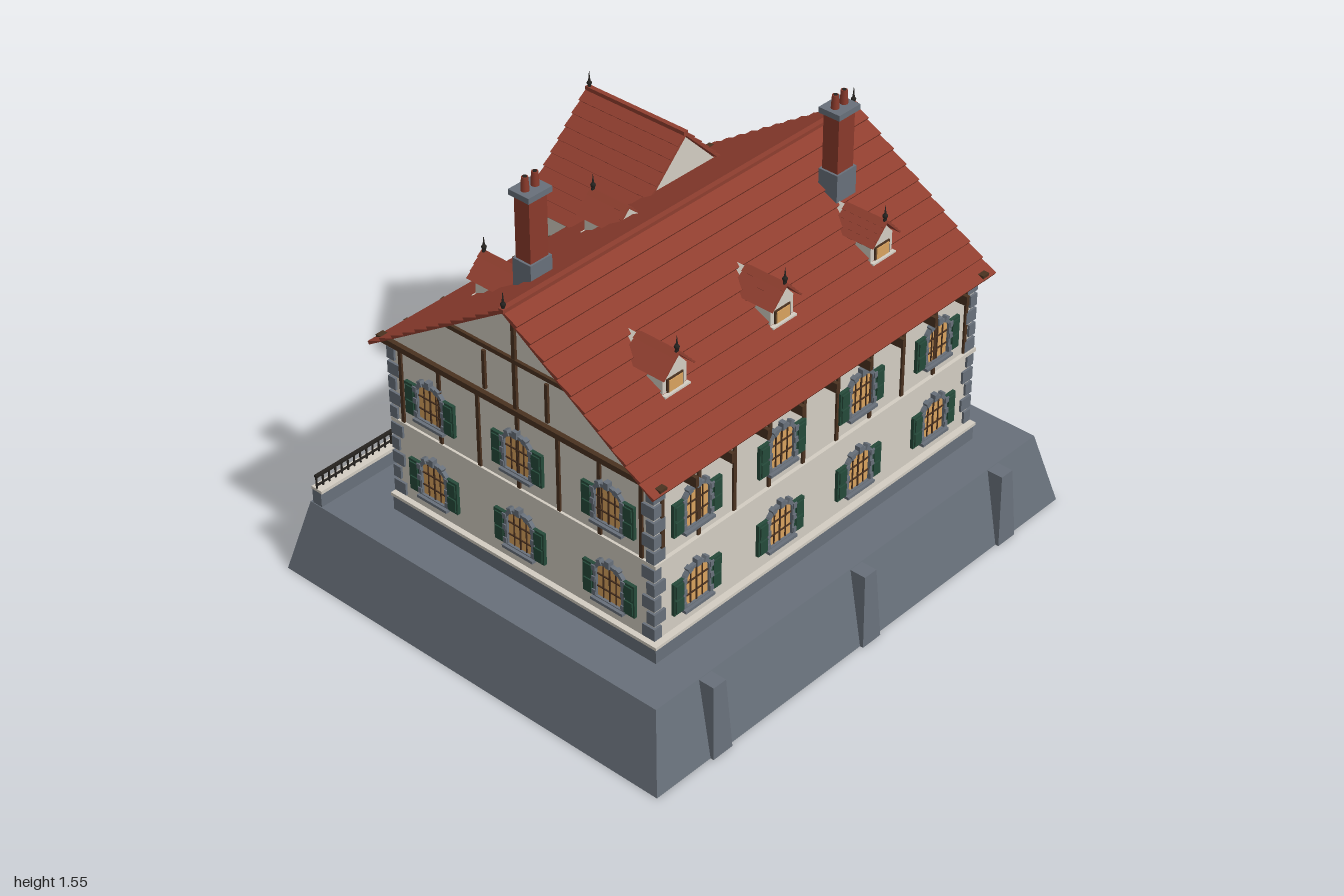
import * as THREE from 'three';

const mat = (name, color) => Object.assign(new THREE.MeshStandardMaterial({ color }), { name });
const stone = mat('stone', 0x68707a), plaster = mat('plaster', 0xd3cdc2), tile = mat('roof tile', 0x8f3e2f);
const brick = mat('brick', 0x8a3a2b), timber = mat('timber', 0x4a3220), glass = mat('lit glass', 0xd9a25e);
const green = mat('shutter green', 0x254a3a), iron = mat('iron', 0x25221f);

const CX = -0.02, CZ = 0.038;           // centre of the main block

function add(parent, name, geo, m, x = 0, y = 0, z = 0) {
  const o = new THREE.Mesh(geo, m);
  o.name = name;
  o.position.set(x, y, z);
  parent.add(o);
  return o;
}
const box = (p, name, m, w, h, d, x, y, z) => add(p, name, new THREE.BoxGeometry(w, h, d), m, x, y, z);
// box given by its two corners
const span = (p, name, m, x0, x1, y0, y1, z0, z1) =>
  box(p, name, m, x1 - x0, y1 - y0, z1 - z0, (x0 + x1) / 2, (y0 + y1) / 2, (z0 + z1) / 2);

function group(parent, name, x = 0, y = 0, z = 0, ry = 0) {
  const g = new THREE.Group();
  g.name = name;
  g.position.set(x, y, z);
  g.rotation.y = ry;
  parent.add(g);
  return g;
}

// box whose top face has another size
function taper(w0, d0, w1, d1, h) {
  const g = new THREE.BoxGeometry(w0, h, d0), p = g.attributes.position;
  for (let i = 0; i < p.count; i++)
    if (p.getY(i) > 0) p.setXYZ(i, p.getX(i) * w1 / w0, p.getY(i), p.getZ(i) * d1 / d0);
  g.computeVertexNormals();
  return g;
}

function extrude(points, depth) {
  const shape = new THREE.Shape(points.map(([x, y]) => new THREE.Vector2(x, y)));
  return new THREE.ExtrudeGeometry(shape, { depth, bevelEnabled: false });
}

// gabled wall block, ridge along z
const gableBlock = (hw, y0, y1, apex, depth) =>
  extrude([[-hw, y0], [hw, y0], [hw, y1], [0, apex], [-hw, y1]], depth);

// gabled roof with stepped tile courses, ridge along z
function tiledRoof(hw, eave, ridge, n, depth, t = 0.012) {
  const len = Math.hypot(hw, ridge - eave), nx = (ridge - eave) / len, ny = hw / len;
  const side = [];
  for (let i = 0; i < n; i++) {
    for (const [k, off] of [[i, t], [i + 1, 0.002]]) {
      const f = k / n;
      side.push([hw * (1 - f) + nx * off, eave + (ridge - eave) * f + ny * off]);
    }
  }
  side[side.length - 1] = [0, ridge + 0.003];
  const left = side.slice(0, -1).reverse().map(([x, y]) => [-x, y]);
  return extrude([[hw, eave], ...side, ...left, [-hw, eave], [0, ridge - 0.006]], depth);
}

function finial(parent, x, y, z, h = 0.07) {
  add(parent, 'finial', new THREE.ConeGeometry(0.007, h, 6), iron, x, y + h / 2, z);
  add(parent, 'finialBall', new THREE.SphereGeometry(0.009, 8, 6), iron, x, y + h * 0.3, z);
}

// arched outline of a window
function arch(P, w, y0, y1, rise) {
  const s = new P();
  s.moveTo(-w, y0);
  s.lineTo(w, y0);
  s.lineTo(w, y1);
  s.quadraticCurveTo(w * 0.75, y1 + rise, 0, y1 + rise);
  s.quadraticCurveTo(-w * 0.75, y1 + rise, -w, y1);
  return s;
}
const surround = arch(THREE.Shape, 0.063, -0.07, 0.045, 0.036);
surround.holes.push(arch(THREE.Path, 0.051, -0.062, 0.042, 0.027));
const surroundGeo = new THREE.ExtrudeGeometry(surround, { depth: 0.014, bevelEnabled: false, curveSegments: 5 });
const paneGeo = new THREE.ShapeGeometry(arch(THREE.Shape, 0.055, -0.066, 0.042, 0.03), 5);

// arched window with stone surround and shutters, facing its own +z
function windowUnit(parent, x, y, z, ry) {
  const g = group(parent, 'window', x, y, z, ry);
  add(g, 'pane', paneGeo, glass, 0, 0, 0.005);
  add(g, 'surround', surroundGeo, stone);
  box(g, 'mullion', timber, 0.005, 0.13, 0.006, 0, 0.002, 0.006);
  for (const s of [-1, 1]) {
    box(g, 'mullion', timber, 0.003, 0.12, 0.006, s * 0.026, 0, 0.006);
    box(g, 'shutter', green, 0.045, 0.118, 0.012, s * 0.083, -0.006, 0.008);
    for (let i = 0; i < 2; i++) box(g, 'shutterPanel', green, 0.033, 0.046, 0.005, s * 0.083, -0.034 + i * 0.056, 0.016);
    for (const by of [-0.05, 0, 0.042]) box(g, 'surroundBlock', stone, 0.016, 0.02, 0.018, s * 0.06, by, 0.009);
    box(g, 'archBlock', stone, 0.016, 0.02, 0.018, s * 0.036, 0.073, 0.009).rotation.z = -s * 0.4;
  }
  for (const by of [-0.025, 0.022]) box(g, 'glazingBar', timber, 0.104, 0.004, 0.006, 0, by, 0.006);
  box(g, 'keystone', stone, 0.018, 0.026, 0.02, 0, 0.083, 0.01);
  box(g, 'sill', stone, 0.13, 0.01, 0.026, 0, -0.07, 0.012);
}

// iron railing along its own x
function railing(parent, x, y, z, length, h, ry = 0) {
  const g = group(parent, 'railing', x, y, z, ry);
  box(g, 'topRail', iron, length, 0.008, 0.012, 0, h, 0);
  box(g, 'lowerRail', iron, length, 0.005, 0.006, 0, 0.012, 0);
  const n = Math.round(length / 0.027);
  for (let i = 0; i <= n; i++) box(g, 'baluster', iron, 0.005, h, 0.005, (i / n - 0.5) * (length - 0.006), h / 2, 0);
}

// timber framing of a gable facing its own +z
function gableFrame(parent, z, hw, y0, apex) {
  const h = apex - y0, cy = y0 + h * 0.5;
  box(parent, 'tieBeam', timber, hw * 2, 0.02, 0.03, 0, y0, z);
  box(parent, 'kingPost', timber, 0.014, h, 0.016, 0, y0 + h / 2 - 0.005, z);
  box(parent, 'collarBeam', timber, hw * 0.98, 0.015, 0.018, 0, cy, z);
  for (const s of [-1, 1]) box(parent, 'strut', timber, 0.012, h * 0.38, 0.014, s * hw * 0.22, y0 + h * 0.25, z);
}

function dormer(parent, x, side) {
  const g = group(parent, 'dormer', x, 0, CZ, side > 0 ? 0 : Math.PI);
  add(g, 'dormerWall', gableBlock(0.052, 1.0, 1.105, 1.165, 0.19), plaster, 0, 0, 0.195);
  add(g, 'dormerRoof', tiledRoof(0.066, 1.1, 1.172, 4, 0.165, 0.007), tile, 0, 0, 0.24);
  box(g, 'dormerFrame', timber, 0.07, 0.05, 0.008, 0, 1.06, 0.386);
  box(g, 'dormerPane', glass, 0.058, 0.04, 0.008, 0, 1.06, 0.389);
  box(g, 'dormerSill', plaster, 0.11, 0.01, 0.02, 0, 1.033, 0.39);
  finial(g, 0, 1.17, 0.395, 0.06);
}

function chimney(parent, x, z, top) {
  const g = group(parent, 'chimney', x, 0, z);
  span(g, 'chimneyBase', stone, -0.046, 0.046, 1.08, 1.26, -0.038, 0.038);
  span(g, 'chimneyShaft', brick, -0.038, 0.038, 1.26, top, -0.031, 0.031);
  span(g, 'chimneyCap', stone, -0.05, 0.05, top - 0.005, top + 0.015, -0.042, 0.042);
  for (const s of [-1, 1]) {
    add(g, 'chimneyPot', new THREE.CylinderGeometry(0.011, 0.014, 0.05, 10), brick, s * 0.021, top + 0.037, 0);
    add(g, 'potMouth', new THREE.CylinderGeometry(0.007, 0.007, 0.004, 10), iron, s * 0.021, top + 0.062, 0);
  }
}

export function createModel() {
  const model = new THREE.Group();
  model.name = 'countryHouse';

  // sloping stone base with buttresses
  add(model, 'base', taper(1.955, 1.614, 1.825, 1.49, 0.265), stone, -0.022, 0.1325, 0);
  for (const x of [-0.72, CX, 0.67])
    for (const s of [-1, 1]) add(model, 'buttress', taper(0.085, 0.16, 0.055, 0.13, 0.262), stone, x, 0.131, s * 0.739);

  // plinths, walls and storey bands
  span(model, 'plinth', stone, -0.783, 0.743, 0.26, 0.322, -0.52, 0.605);
  span(model, 'plinthLedge', plaster, -0.788, 0.748, 0.32, 0.331, -0.525, 0.61);
  span(model, 'wingPlinth', stone, 0.09, 0.644, 0.26, 0.322, -0.692, -0.4);
  span(model, 'wingPlinthLedge', plaster, 0.086, 0.648, 0.32, 0.331, -0.696, -0.4);
  span(model, 'storeyBand', plaster, -0.777, 0.738, 0.613, 0.627, -0.514, 0.6);
  span(model, 'wingStoreyBand', plaster, 0.093, 0.641, 0.613, 0.627, -0.692, -0.4);

  const main = group(model, 'mainBlock', CX, 0, CZ, Math.PI / 2);
  add(main, 'mainWalls', gableBlock(0.548, 0.3, 0.915, 1.275, 1.496), plaster, 0, 0, -0.748);
  add(main, 'mainRoof', tiledRoof(0.588, 0.9, 1.288, 11, 1.592), tile, 0, 0, -0.796);
  box(main, 'ridgeTile', tile, 0.02, 0.014, 1.6, 0, 1.292, 0);
  for (const s of [-1, 1]) {
    gableFrame(main, s * 0.75, 0.59, 0.912, 1.275);
    finial(main, 0, 1.29, s * 0.79);
  }

  const wing = group(model, 'backWing', 0.367, 0, 0, Math.PI);
  add(wing, 'wingWalls', gableBlock(0.267, 0.3, 0.94, 1.208, 0.353), plaster, 0, 0, 0.33);
  add(wing, 'wingRoof', tiledRoof(0.308, 0.91, 1.217, 9, 0.435), tile, 0, 0, 0.315);
  box(wing, 'wingRidgeTile', tile, 0.018, 0.014, 0.435, 0, 1.221, 0.533);
  gableFrame(wing, 0.684, 0.29, 0.915, 1.2);
  finial(wing, 0, 1.22, 0.74);

  // upper storey timber posts, wall plates and rafter tails
  for (const s of [-1, 1]) {
    const zf = CZ + s * 0.549;
    for (let i = 0; i < 10; i++) {
      const x = -0.735 + i * 0.158, hidden = s < 0 && x > 0.1 && x < 0.64;
      if (hidden) continue;
      box(model, 'timberPost', timber, 0.013, 0.275, 0.012, x, 0.765, zf);
      if (i < 9) box(model, 'rafterTail', timber, 0.014, 0.035, 0.07, x + 0.09, 0.885, CZ + s * 0.572);
    }
    box(model, 'wallPlate', timber, 1.5, 0.018, 0.02, CX, 0.9, zf);
    for (let i = 0; i < 7; i++) box(model, 'timberPost', timber, 0.012, 0.275, 0.013, CX + s * 0.749, 0.765, 0.54 - i * 0.167);
  }

  // alternating corner stones
  for (const sx of [-1, 1]) for (const sz of [-1, 1])
    for (let i = 0; i < 10; i++) {
      const a = i % 2 ? 0.05 : 0.032, b = i % 2 ? 0.032 : 0.05;
      const y = (i < 5 ? 0.362 : 0.37) + i * 0.0555;
      box(model, 'cornerStone', stone, a, 0.044, b, CX + sx * (0.756 - a / 2), y, CZ + sz * (0.556 - b / 2));
    }

  // windows on all sides
  for (const y of [0.455, 0.748]) {
    for (const x of [-0.59, -0.21, 0.163, 0.537]) windowUnit(model, x, y, CZ + 0.548, 0);
    for (const z of [0.413, 0.04, -0.333]) {
      windowUnit(model, CX + 0.748, y, z, Math.PI / 2);
      windowUnit(model, CX - 0.748, y, z, -Math.PI / 2);
    }
    for (const x of [-0.59, -0.23]) windowUnit(model, x, y, CZ - 0.548, Math.PI);
    for (const x of [0.235, 0.5]) windowUnit(model, x, y, -0.683, Math.PI);
  }
  span(model, 'doorFrame', stone, -0.08, 0.045, 0.32, 0.55, -0.52, -0.5);
  span(model, 'backDoor', timber, -0.068, 0.033, 0.325, 0.538, -0.524, -0.5);

  // dormers and chimneys
  for (const x of [-0.5, -0.02, 0.452]) dormer(model, x, 1);
  for (const x of [-0.5, -0.02]) dormer(model, x, -1);
  chimney(model, -0.515, -0.135, 1.485);
  chimney(model, 0.485, 0.212, 1.465);

  // balcony on columns
  span(model, 'balconySlab', plaster, -0.56, 0.11, 0.595, 0.622, -0.688, -0.5);
  for (let i = 0; i < 4; i++) {
    const x = -0.53 + i * 0.187;
    add(model, 'balconyColumn', new THREE.CylinderGeometry(0.013, 0.017, 0.32, 12), plaster, x, 0.435, -0.66);
    box(model, 'columnFoot', plaster, 0.045, 0.03, 0.045, x, 0.279, -0.66);
    box(model, 'columnHead', plaster, 0.045, 0.02, 0.045, x, 0.586, -0.66);
  }
  railing(model, -0.23, 0.622, -0.68, 0.66, 0.08);
  railing(model, -0.553, 0.622, -0.595, 0.17, 0.08, Math.PI / 2);

  // back parapet with railing, gate pillars and steps
  for (const [a, b] of [[-0.932, -0.2], [0.17, 0.89]]) {
    span(model, 'parapet', stone, a, b, 0.26, 0.318, -0.735, -0.695);
    span(model, 'parapetCoping', plaster, a, b, 0.316, 0.328, -0.738, -0.692);
    railing(model, (a + b) / 2, 0.328, -0.715, b - a, 0.048);
  }
  for (const x of [-0.2, 0.17]) {
    span(model, 'gatePillar', stone, x - 0.023, x + 0.023, 0.26, 0.445, -0.738, -0.692);
    box(model, 'pillarCap', plaster, 0.06, 0.012, 0.06, x, 0.451, -0.715);
    add(model, 'lantern', new THREE.CylinderGeometry(0.013, 0.01, 0.024, 6), glass, x, 0.469, -0.715);
    add(model, 'lanternRoof', new THREE.ConeGeometry(0.018, 0.018, 6), iron, x, 0.489, -0.715);
  }
  for (let i = 0; i < 4; i++)
    span(model, 'step', stone, -0.15, 0.125, 0.262, 0.284 + i * 0.016, -0.82 + i * 0.024, -0.7);
  for (const x of [-0.158, 0.133]) box(model, 'stepWall', stone, 0.024, 0.085, 0.11, x, 0.305, -0.775);

  // pergola
  const pergola = group(model, 'pergola');
  for (const x of [0.782, 0.962]) {
    for (const z of [0.325, 0.135, -0.055]) box(pergola, 'pergolaPost', timber, 0.013, 0.205, 0.013, x, 0.425, z);
    box(pergola, 'pergolaBeam', timber, 0.013, 0.013, 0.462, x, 0.53, 0.135);
  }
  for (let i = 0; i < 9; i++) box(pergola, 'pergolaRafter', timber, 0.23, 0.01, 0.01, 0.885, 0.54, -0.08 + i * 0.0525);

  return model;
}
